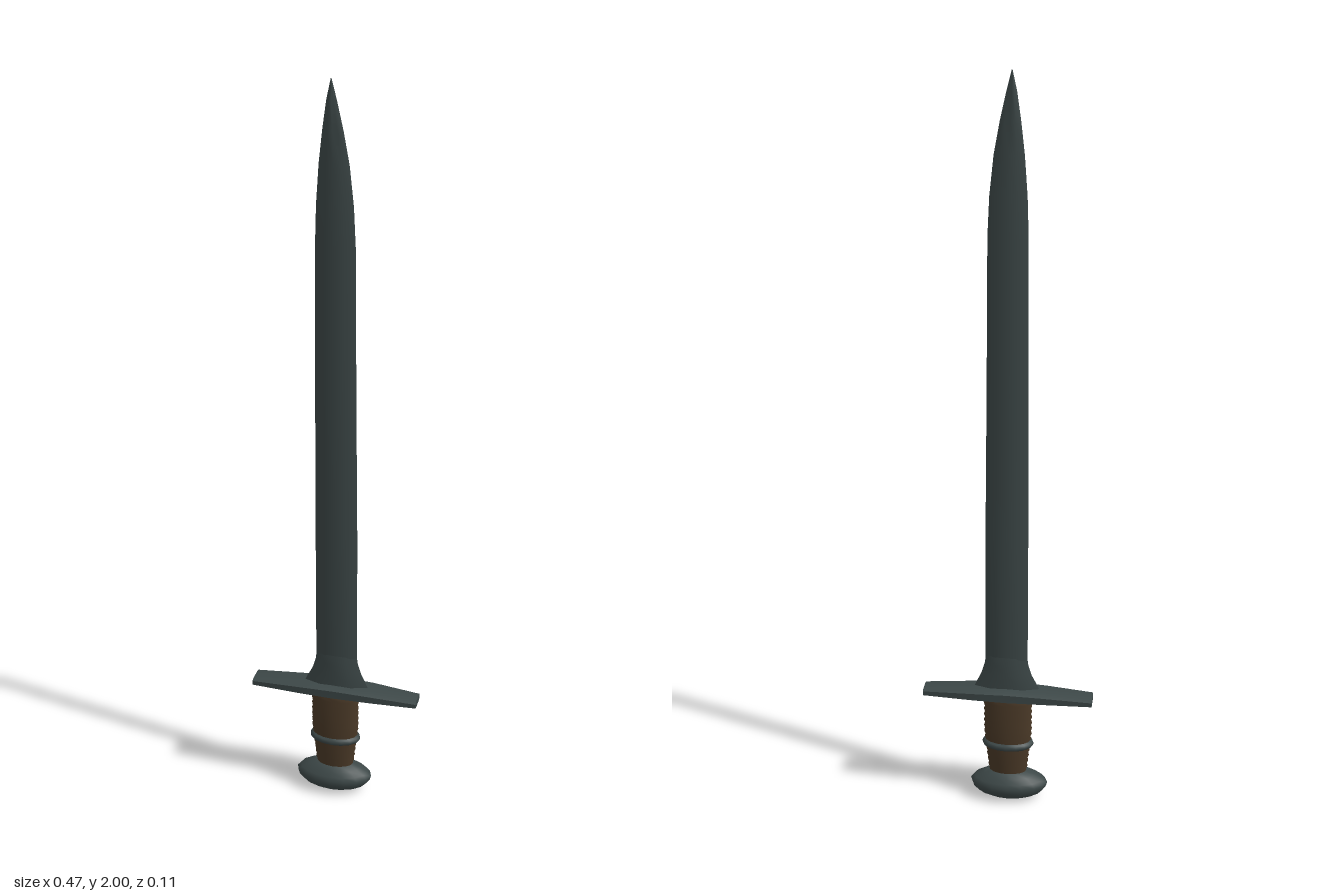
import * as THREE from 'three';
import { toCreasedNormals } from 'three/addons/utils/BufferGeometryUtils.js';

const ellipse = (n) => Array.from({ length: n }, (_, i) => {
  const a = (i / n) * Math.PI * 2;
  return [Math.cos(a), -Math.sin(a)];
});
const BLADE = [[1, 0], [0.5, -0.92], [0, -1], [-0.5, -0.92], [-1, 0], [-0.5, 0.92], [0, 1], [0.5, 0.92]];
const BAR = [[1, 0.6], [1, -0.6], [0.6, -1], [-0.6, -1], [-1, -0.6], [-1, 0.6], [-0.6, 1], [0.6, 1]];

// Skin a section through rows of [y, centreX, halfX, halfZ, centreZ], capped at both ends
function loft(section, rows, crease) {
  const n = section.length, pos = [], idx = [];
  for (const [y, cx, hx, hz, cz = 0] of rows)
    for (const [x, z] of section) pos.push(cx + x * hx, y, cz + z * hz);
  for (let r = 0; r < rows.length - 1; r++)
    for (let i = 0; i < n; i++) {
      const a = r * n + i, b = r * n + (i + 1) % n;
      idx.push(a, b, a + n, b, b + n, a + n);
    }
  const top = (rows.length - 1) * n;
  for (let i = 1; i < n - 1; i++) idx.push(0, i + 1, i, top, top + i, top + i + 1);
  const g = new THREE.BufferGeometry();
  g.setAttribute('position', new THREE.Float32BufferAttribute(pos, 3));
  g.setIndex(idx);
  return toCreasedNormals(g, crease);
}

export function createModel() {
  const steel = new THREE.MeshStandardMaterial({ color: 0x3d4848 });
  steel.name = 'dark steel';
  const leather = new THREE.MeshStandardMaterial({ color: 0x4a3927 });
  leather.name = 'brown leather';

  const sword = new THREE.Group();
  sword.name = 'sword';
  const add = (name, geometry, material) => {
    const mesh = new THREE.Mesh(geometry, material);
    mesh.name = name;
    sword.add(mesh);
  };

  // Blade, tapering to a leaf-shaped point
  add('blade', loft(BLADE, [
    [0.34, 0.004, 0.058, 0.014], [0.8, 0.003, 0.057, 0.014], [1.2, 0.001, 0.054, 0.013],
    [1.6, 0, 0.051, 0.012], [1.7, -0.001, 0.047, 0.011], [1.8, -0.003, 0.038, 0.009],
    [1.88, -0.006, 0.026, 0.007], [1.95, -0.009, 0.013, 0.005], [2, -0.01, 0.001, 0.001],
  ], 0.75), steel);

  // Collar flaring from the blade into the guard
  add('collar', loft(BLADE, [
    [0.335, 0.003, 0.094, 0.018], [0.355, 0.003, 0.086, 0.018], [0.39, 0.004, 0.069, 0.017],
    [0.42, 0.004, 0.06, 0.016], [0.45, 0.004, 0.056, 0.0135],
  ], 0.75), steel);

  // Crossguard, laid along x
  const guard = loft(BAR, [
    [-0.233, -0.327, 0.01, 0.03, -0.003], [-0.1, -0.331, 0.016, 0.037, -0.002],
    [0, -0.332, 0.019, 0.039, -0.002], [0.1, -0.331, 0.016, 0.037, -0.002],
    [0.233, -0.327, 0.01, 0.028, -0.001],
  ], 0.6);
  guard.rotateZ(-Math.PI / 2);
  add('crossguard', guard, steel);

  // Grip with shallow wrap ridges
  const gripRows = [];
  for (let i = 0; i <= 28; i++) {
    const t = i / 28, ripple = i % 2 ? 0.0015 : -0.0015;
    const w = 0.051 + 0.015 * Math.min(1, t * 1.8);
    const d = 0.03 + 0.006 * Math.sin(t * Math.PI);
    gripRows.push([0.075 + t * 0.245, 0, w + ripple, d + ripple]);
  }
  add('grip', loft(ellipse(16), gripRows, 0.9), leather);

  // Raised band around the grip
  add('gripBand', loft(ellipse(16), [
    [0.162, 0, 0.06, 0.033], [0.168, 0, 0.069, 0.041], [0.175, 0, 0.072, 0.043],
    [0.182, 0, 0.069, 0.041], [0.188, 0, 0.06, 0.033],
  ], 1), steel);

  // Oval pommel
  add('pommel', loft(ellipse(16), [
    [0.004, -0.003, 0.035, 0.018], [0.011, -0.003, 0.066, 0.035], [0.023, -0.003, 0.09, 0.049],
    [0.038, -0.003, 0.104, 0.056], [0.052, -0.003, 0.108, 0.057], [0.064, -0.003, 0.098, 0.052],
    [0.076, -0.002, 0.075, 0.041], [0.088, 0, 0.053, 0.031],
  ], 1), steel);

  return sword;
}
